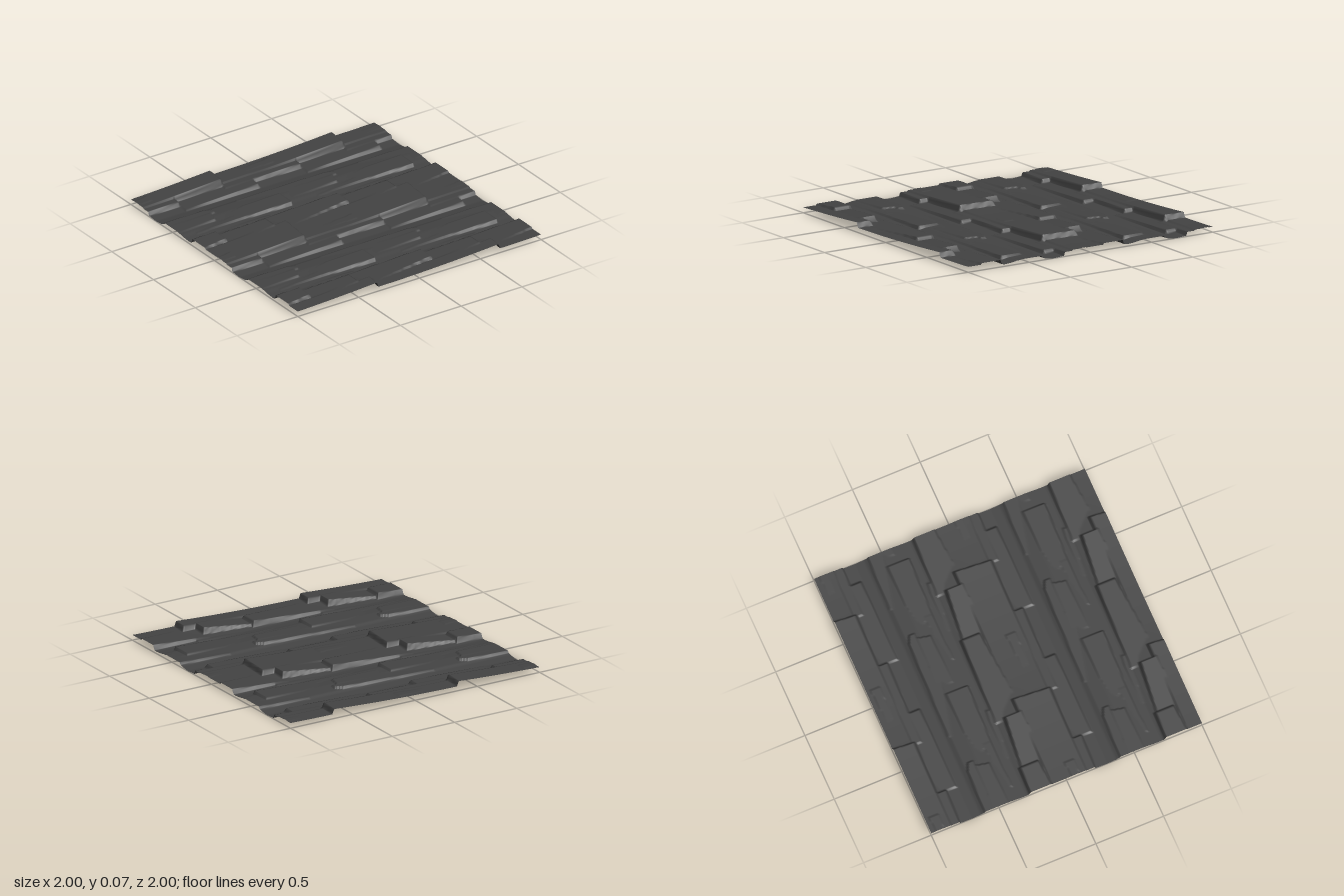
import * as THREE from 'three';

// Slate courses of one repeating 1 x 1 tile.
// corners: back left, back right, front right, front left as [x, z];
// each slab rises from low (left) to high (right), bend > 1 makes the rise concave.
const slabs = [
  { corners: [[-0.34, -0.11], [0.66, -0.11], [0.64, 0.15], [-0.36, 0.14]], low: 0.034, high: 0.07, bend: 1.8 },   // long top course
  { corners: [[-0.36, 0.1], [0.25, 0.1], [0.25, 0.215], [-0.36, 0.2]], low: 0.026, high: 0.037 },                  // its front lip
  { corners: [[-0.2, 0.05], [0.11, 0.03], [0.11, 0.1], [-0.2, 0.085]], low: 0.034, high: 0.047 },                  // small chip on top
  { corners: [[-0.44, -0.28], [0.19, -0.26], [0.19, -0.13], [-0.44, -0.07]], low: 0.027, high: 0.06 },             // back course, left slab
  { corners: [[0.19, -0.25], [0.56, -0.21], [0.56, -0.095], [0.19, -0.07]], low: 0.036, high: 0.07 },              // back course, right slab
  { corners: [[-0.75, 0.12], [-0.14, 0.12], [-0.14, 0.285], [-0.75, 0.295]], low: 0.009, high: 0.028 },            // low step
  { corners: [[-0.4, 0.385], [0.31, 0.405], [0.37, 0.43], [0.37, 0.47], [-0.4, 0.49]], low: 0.023, high: 0.039 },  // middle course, back
  { corners: [[-0.05, 0.46], [0.33, 0.47], [0.31, 0.565], [-0.05, 0.57]], low: 0.03, high: 0.041 },                // middle course, front
  { corners: [[-0.6, 0.53], [-0.4, 0.49], [-0.12, 0.49], [-0.12, 0.65], [-0.55, 0.635]], low: 0.029, high: 0.042 },// broad front slab
  { corners: [[-0.9, 0.6], [-0.55, 0.58], [-0.55, 0.632], [-0.9, 0.642]], low: 0.023, high: 0.031 },               // narrow front slab
  { corners: [[-0.7, 0.68], [-0.33, 0.69], [-0.33, 0.725], [-0.7, 0.705]], low: 0.016, high: 0.024 },              // thin sliver
];

// Bed below the slabs as [z, height]
const bed = [[-0.3, 0.015], [-0.26, 0.022], [-0.2, 0.03], [-0.1, 0.035], [0.13, 0.033], [0.16, 0.012], [0.3, 0.001],
  [0.37, 0.01], [0.4, 0.022], [0.5, 0.031], [0.6, 0.027], [0.64, 0.02], [0.7, 0.015]];

const cliffSlope = 3.5;

function bedHeight(z) {
  for (let i = 1; i < bed.length; i++) {
    const [z0, h0] = bed[i - 1], [z1, h1] = bed[i];
    if (z <= z1) return h0 + (h1 - h0) * (z - z0) / (z1 - z0);
  }
  return bed[bed.length - 1][1];
}

// Top of the slab inside its outline, falling away steeply outside it
function slabHeight({ corners, low, high, bend = 1 }, x, z) {
  let outside = 0;
  corners.forEach(([ax, az], i) => {
    const [bx, bz] = corners[(i + 1) % corners.length];
    const dx = bx - ax, dz = bz - az;
    outside = Math.max(outside, ((x - ax) * dz - (z - az) * dx) / Math.hypot(dx, dz));
  });
  const xs = corners.map((c) => c[0]);
  const left = Math.min(...xs), right = Math.max(...xs);
  const t = THREE.MathUtils.clamp((x - left) / (right - left), 0, 1);
  return low + (high - low) * Math.pow(t, bend) - cliffSlope * outside;
}

function surfaceHeight(x, z) {
  const tx = x - Math.floor(x);
  const tz = z - Math.floor(z + 0.3);
  let h = bedHeight(tz);
  for (const slab of slabs) {
    for (const sx of [-1, 0, 1]) {
      for (const sz of [-1, 0, 1]) h = Math.max(h, slabHeight(slab, tx + sx, tz + sz));
    }
  }
  return h;
}

export function createModel() {
  const group = new THREE.Group();
  group.name = 'slatePanel';
  const slate = new THREE.MeshStandardMaterial({ color: 0x434343, side: THREE.DoubleSide });
  slate.name = 'dark slate';

  // One displaced sheet: two by two repeats of the tile
  const cells = 250, half = cells / 2;
  const tile = [];
  for (let r = 0; r < half; r++) {
    for (let c = 0; c < half; c++) tile.push(surfaceHeight(c / half, r / half));
  }
  const geometry = new THREE.PlaneGeometry(2, 2, cells, cells).rotateX(-Math.PI / 2);
  const pos = geometry.attributes.position;
  for (let i = 0; i < pos.count; i++) {
    const c = i % (cells + 1), r = Math.floor(i / (cells + 1));
    pos.setY(i, tile[(r % half) * half + (c % half)]);
  }
  geometry.computeVertexNormals();

  const sheet = new THREE.Mesh(geometry, slate);
  sheet.name = 'layeredSlateSurface';
  group.add(sheet);
  return group;
}
